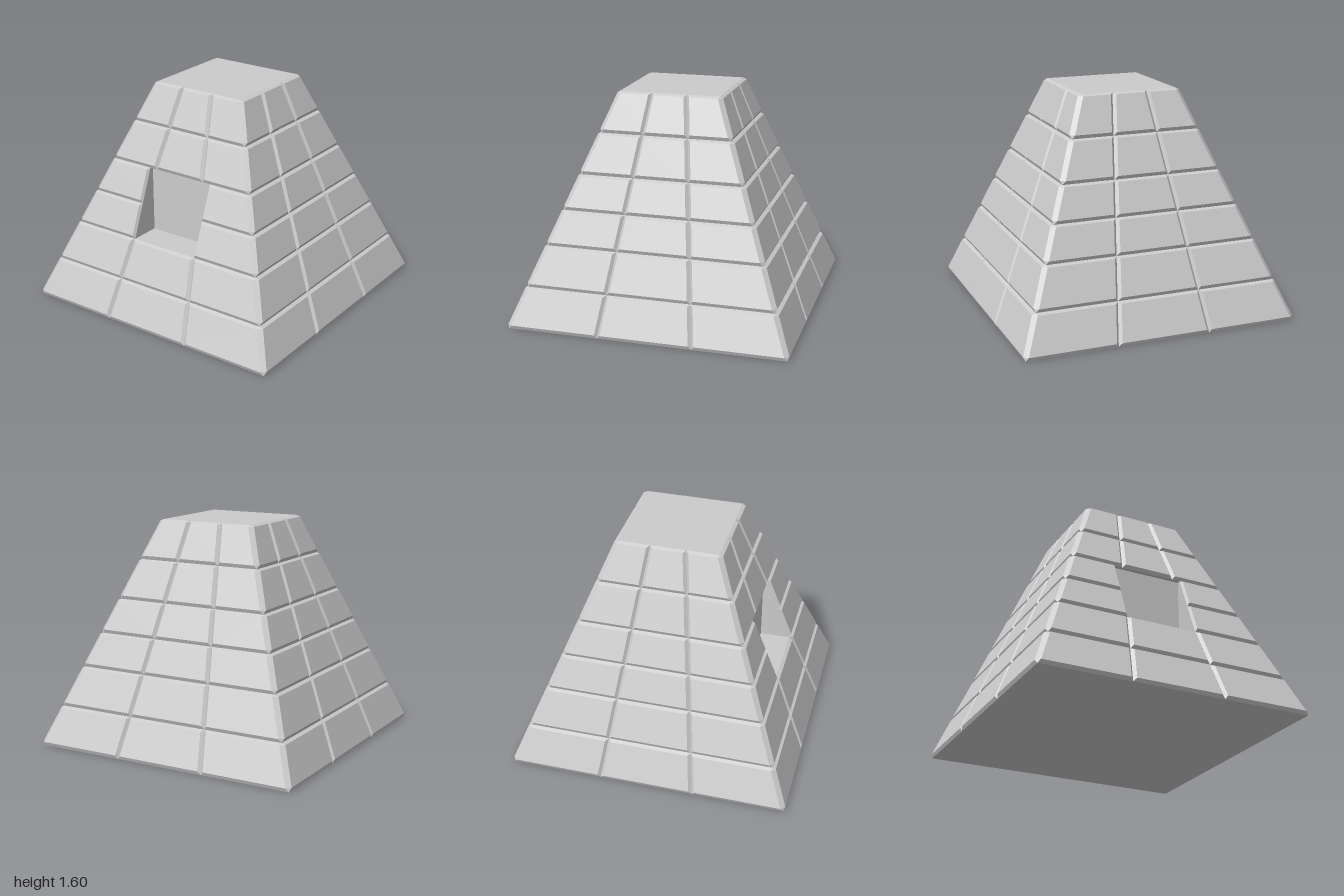
import * as THREE from 'three';
import { ConvexGeometry } from 'three/addons/geometries/ConvexGeometry.js';

const courses = [0, 0.28, 0.56, 0.8, 1.04, 1.32, 1.6];
const inset = 0.0215;      // horizontal depth of the joints
const bevelTop = 0.011;    // height of a stone's upper bevel
const bevelBottom = 0.026; // height of a stone's lower bevel
const bevelSide = 0.02;
const cornerCut = 0.03;
const niche = { halfWidth: 0.26, back: 0.55, bevel: 0.013 };

// half width of the sloped outer surface and of the core behind the joints
const outer = (y) => 1.0103 - 0.3967 * y;
const core = (y) => outer(y) - inset;

export function createModel() {
  const model = new THREE.Group();
  const material = new THREE.MeshStandardMaterial({ color: 0xcccccc, flatShading: true });

  const hull = (parent, name, points) => {
    const mesh = new THREE.Mesh(
      new ConvexGeometry(points.map((p) => new THREE.Vector3(...p))), material);
    mesh.name = name;
    parent.add(mesh);
  };

  // core piece whose rectangle [x0, x1, z0, z1] depends on the height
  const corePiece = (name, y0, y1, rect) => {
    const points = [];
    for (const y of [y0, y1]) {
      const [x0, x1, z0, z1] = rect(core(y));
      points.push([x0, y, z0], [x1, y, z0], [x1, y, z1], [x0, y, z1]);
    }
    hull(model, name, points);
  };

  // core, left open at the front for the niche
  const full = (c) => [-c, c, -c, c];
  const w = niche.halfWidth;
  corePiece('lowerCore', 0, 0.56, full);
  corePiece('upperCore', 1.04, 1.6, full);
  corePiece('leftCore', 0.56, 1.04, (c) => [w, c, -c, c]);
  corePiece('rightCore', 0.56, 1.04, (c) => [-c, -w, -c, c]);
  corePiece('nicheBackCore', 0.56, 1.04, (c) => [-w, w, -c, niche.back]);

  // stone facing, one group per side
  ['front', 'left', 'back', 'right'].forEach((sideName, side) => {
    const face = new THREE.Group();
    face.name = sideName + 'Facing';
    face.rotation.y = side * Math.PI / 2;
    model.add(face);

    for (let row = 0; row < 6; row++) {
      const y0 = courses[row], y1 = courses[row + 1];
      const a = y0 + bevelBottom, b = y1 - bevelTop;
      const besideNiche = side === 0 && (row === 2 || row === 3);
      const joint = (y) => (besideNiche ? w : outer(y) / 3);
      const bevel = besideNiche ? niche.bevel : bevelSide;

      // middle stone
      if (!besideNiche) {
        const points = [];
        for (const s of [-1, 1]) {
          for (const y of [y0, y1]) points.push([s * joint(y), y, core(y)]);
          for (const y of [a, b]) points.push([s * (joint(y) - bevel), y, outer(y)]);
        }
        hull(face, 'middleStone', points);
      }

      // outer stones
      for (const s of [-1, 1]) {
        const points = [];
        for (const y of [y0, y1]) {
          points.push([s * joint(y), y, core(y)], [s * core(y), y, core(y)]);
        }
        for (const y of [a, b]) {
          points.push([s * (joint(y) + bevel), y, outer(y)],
            [s * (outer(y) - cornerCut), y, outer(y)]);
        }
        hull(face, 'outerStone', points);
      }

      // chamfered corner
      const corner = [y0, y1].map((y) => [core(y), y, core(y)]);
      for (const y of [a, b]) {
        corner.push([outer(y) - cornerCut, y, outer(y)], [outer(y), y, outer(y) - cornerCut]);
      }
      hull(face, 'cornerChamfer', corner);
    }
  });

  return model;
}
